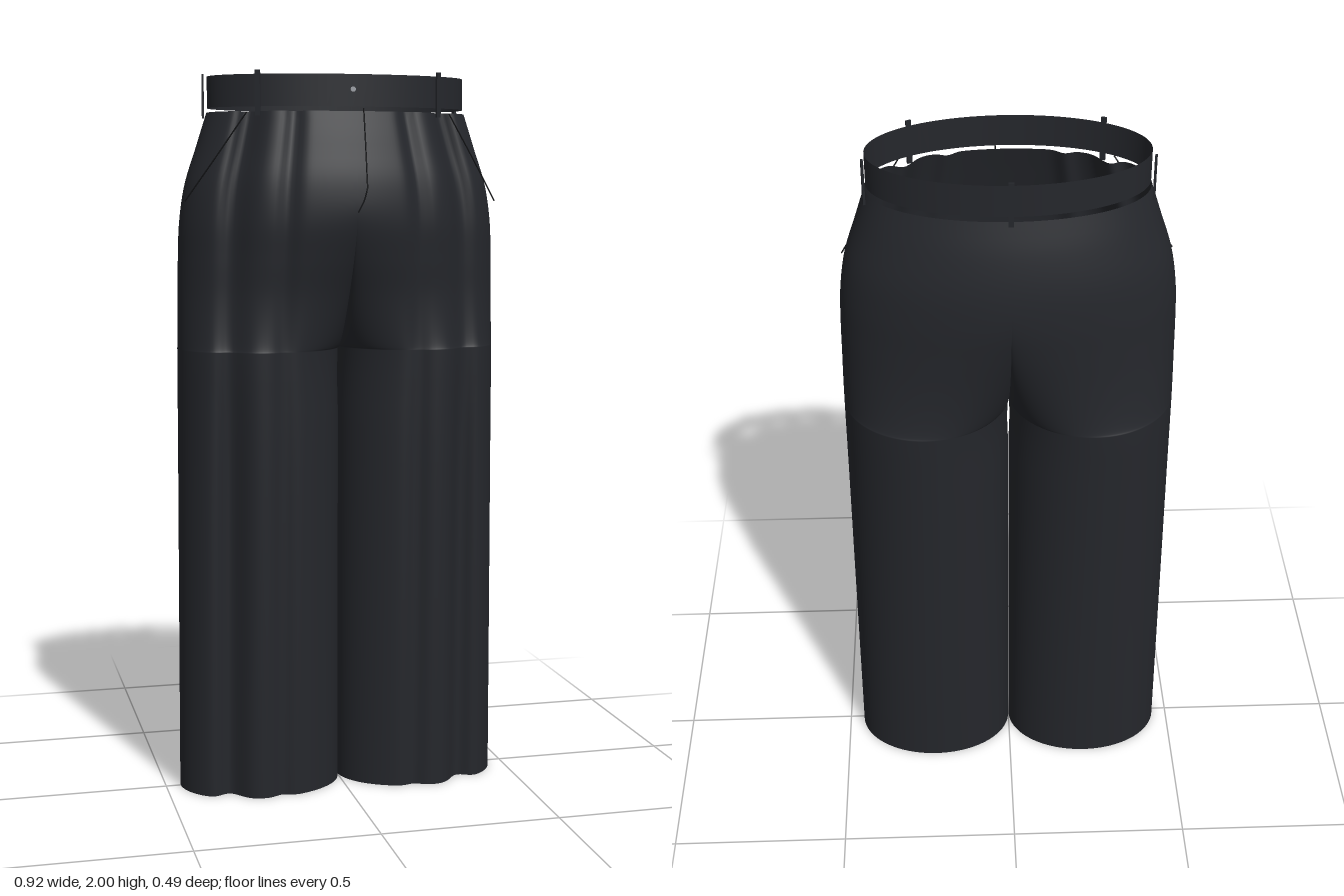
import * as THREE from 'three';
import { mergeVertices } from 'three/addons/utils/BufferGeometryUtils.js';

const cloth = new THREE.MeshStandardMaterial({ color: 0x25272c, side: THREE.DoubleSide });
const seamMat = new THREE.MeshStandardMaterial({ color: 0x121315 });
const buttonMat = new THREE.MeshStandardMaterial({ color: 0x9a9da3 });

// Silhouette by height: half width, front depth, back depth
const heights = [0, 0.6, 1.0, 1.3, 1.4, 1.5, 1.6, 1.7, 1.8, 1.9];
const sizes = [
  0.458, 0.165, 0.168, 0.454, 0.18, 0.192, 0.451, 0.19, 0.21, 0.449, 0.197, 0.225,
  0.447, 0.206, 0.232, 0.445, 0.225, 0.24, 0.44, 0.24, 0.246, 0.424, 0.235, 0.243,
  0.392, 0.212, 0.225, 0.36, 0.186, 0.196,
];
const silhouette = new THREE.CubicInterpolant(heights, sizes, 3, new Float32Array(3));
const CROTCH = 1.25, TOP = 1.893;
const bell = (x, c, w) => Math.exp(-(((x - c) / w) ** 2));

// Point on the left half; phi runs front inseam -> outer side -> back inseam
function clothPoint(y, phi) {
  const [w, front, back] = silhouette.evaluate(y);
  const s = THREE.MathUtils.clamp((y - CROTCH) / 0.4, 0, 1);
  const join = (1 - (1 - s) ** 2) ** 0.7; // 0 = separate leg, 1 = joined hips
  const k = (1 - Math.cos(phi)) / 2;
  const leg = Math.abs(Math.sin(phi));
  const hips = Math.max(0, 1 - k * k) ** 0.46;
  let z = THREE.MathUtils.lerp(leg, hips, join);
  if (phi < Math.PI) {
    // long soft folds down the front
    const amount = 1 - 0.5 * bell(y, 1.4, 0.35);
    z *= front * (1 - amount * (0.3 * bell(k, 0.73, 0.08) + 0.1 * bell(k, 0.42, 0.06)));
  } else z *= -back;
  const gap = y > CROTCH ? 0 : 0.0006 + 0.003 * bell(y, 1.18, 0.06);
  return [gap + (w - gap) * k, y, z];
}

// Both legs and the hips as one cloth surface
function trouserGeometry() {
  const rows = [];
  for (let i = 0; i < 16; i++) rows.push((CROTCH * i) / 16);
  for (let i = 0; i <= 44; i++) rows.push(CROTCH + (TOP - CROTCH) * (i / 44) ** 1.5);
  const cols = 128, pos = [], index = [];
  for (const side of [1, -1]) {
    const base = pos.length / 3;
    rows.forEach((y, i) => {
      for (let j = 0; j <= cols; j++) {
        const [x, py, z] = clothPoint(y, (j / cols) * Math.PI * 2);
        pos.push(x * side, py, z);
        if (i === rows.length - 1 || j === cols) continue;
        const a = base + i * (cols + 1) + j, b = a + 1, c = a + cols + 1, d = c + 1;
        if (side > 0) index.push(a, b, d, a, d, c);
        else index.push(a, d, b, a, c, d);
      }
    });
  }
  let geo = new THREE.BufferGeometry();
  geo.setAttribute('position', new THREE.Float32BufferAttribute(pos, 3));
  geo.setIndex(index);
  geo = mergeVertices(geo, 1e-5);
  geo.computeVertexNormals();
  return geo;
}

export function createModel() {
  const group = new THREE.Group();
  const add = (name, geo, mat, x = 0, y = 0, z = 0) => {
    const mesh = new THREE.Mesh(geo, mat);
    mesh.name = name;
    mesh.position.set(x, y, z);
    group.add(mesh);
    return mesh;
  };
  const stitch = (name, points) => {
    const path = new THREE.CurvePath();
    const v = points.map((p) => new THREE.Vector3(...p));
    for (let i = 1; i < v.length; i++) path.add(new THREE.LineCurve3(v[i - 1], v[i]));
    add(name, new THREE.TubeGeometry(path, 24, 0.002, 5), seamMat);
  };

  add('trouserLegs', trouserGeometry(), cloth);

  // Waistband: an oval band just above the cloth
  const band = new THREE.CylinderGeometry(1, 1, 0.085, 96, 1, true);
  band.scale(0.36, 1, 0.19);
  add('waistband', band, cloth, 0, 1.9475, -0.005);

  // Belt loops
  const loop = (name, x, z, turn) => {
    add(name, new THREE.BoxGeometry(0.014, 0.12, 0.006), cloth, x, 1.94, z).rotation.y = turn;
  };
  loop('backBeltLoop', 0, -0.199, 0);
  for (const side of [1, -1]) {
    const label = side > 0 ? 'left' : 'right';
    loop(label + 'FrontBeltLoop', side * 0.25, 0.143, side * 0.45);
    loop(label + 'SideBeltLoop', side * 0.362, -0.07, side * 1.75);
    // Slanted pocket opening
    stitch(label + 'PocketSeam', [
      [side * 0.28, 1.89, 0.145], [side * 0.36, 1.77, 0.115], [side * 0.437, 1.655, 0.075],
    ]);
  }

  // Fly seam and waist button
  stitch('flySeam', [
    [0.027, 1.9, 0.196], [0.027, 1.8, 0.218], [0.026, 1.69, 0.243], [0.018, 1.66, 0.245], [0, 1.625, 0.246],
  ]);
  add('waistButton', new THREE.CylinderGeometry(0.007, 0.007, 0.005, 16), buttonMat, 0, 1.95, 0.188)
    .rotation.x = Math.PI / 2;
  return group;
}
